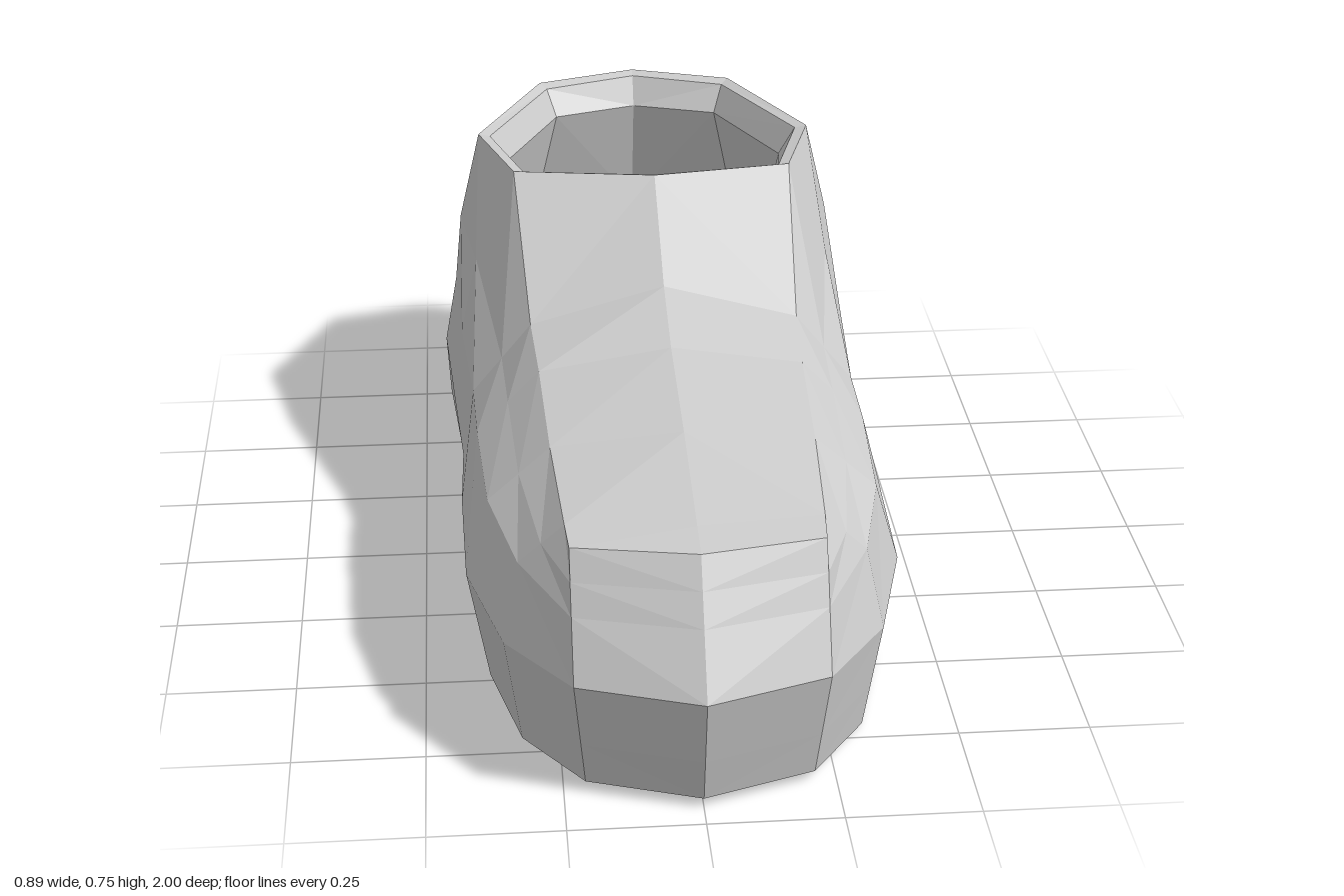
import * as THREE from 'three';

const mix = (a, b, t) => a.map((v, i) => v + (b[i] - v) * t);

// Full six-row column (sole, low, mid, upper, high, edge) from a few key points
function column(...p) {
  if (p.length === 6) return p;
  if (p.length === 3) p.splice(2, 0, mix(p[1], p[2], 0.5));
  const [sole, mid, upper, edge] = p;
  return [sole, mix(sole, mid, 0.4), mid, upper, mix(upper, edge, 0.5), edge];
}

// Skin a grid of columns on the left half and mirror it to the right
function mirroredSkin(name, cols, material) {
  const pos = [];
  const tri = (a, b, c) => {
    pos.push(...a, ...b, ...c);
    for (const p of [a, c, b]) pos.push(-p[0], p[1], p[2]);
  };
  for (let i = 0; i < cols.length - 1; i++) {
    for (let j = 0; j < cols[i].length - 1; j++) {
      const a = cols[i][j], b = cols[i + 1][j], c = cols[i + 1][j + 1], d = cols[i][j + 1];
      const same = (p, q) => p.every((v, k) => v === q[k]);
      if (!same(a, b) && !same(b, c)) tri(a, b, c);
      if (!same(c, d) && !same(a, d)) tri(a, c, d);
    }
  }
  const geo = new THREE.BufferGeometry();
  geo.setAttribute('position', new THREE.Float32BufferAttribute(pos, 3));
  geo.computeVertexNormals();
  const mesh = new THREE.Mesh(geo, material);
  mesh.name = name;
  return mesh;
}

export function createModel() {
  const group = new THREE.Group();
  group.name = 'shoe';
  const mat = new THREE.MeshStandardMaterial({ color: 0xcccccc, flatShading: true });

  // Side wall columns from toe centre round to heel centre
  const arch = column([0.38, 0.085, -0.2], [0.415, 0.12, -0.21], [0.43, 0.235, -0.25],
    [0.41, 0.38, -0.29], [0.375, 0.53, -0.33], [0.29, 0.735, -0.31]);
  const heelFront = [[0.385, 0.015, -0.21], ...arch.slice(1)];
  const walls = [
    column([0, 0.02, 0.95], [0, 0.25, 1], [0, 0.475, 0.86]),
    column([0.21, 0.02, 0.88], [0.23, 0.248, 0.92], [0.23, 0.47, 0.81]),
    column([0.32, 0.012, 0.72], [0.35, 0.235, 0.74], [0.32, 0.38, 0.7], [0.235, 0.477, 0.74]),
    column([0.375, 0, 0.48], [0.415, 0.235, 0.49], [0.37, 0.39, 0.48], [0.25, 0.497, 0.48]),
    column([0.375, 0.015, 0.2], [0.42, 0.235, 0.2], [0.385, 0.39, 0.2], [0.26, 0.518, 0.2]),
    column([0.375, 0.04, 0], [0.415, 0.235, 0], [0.39, 0.38, 0], [0.27, 0.535, 0.02]),
    arch,
    heelFront,
    column([0.39, 0.008, -0.53], [0.44, 0.11, -0.55], [0.447, 0.235, -0.56],
      [0.42, 0.38, -0.57], [0.405, 0.53, -0.57], [0.36, 0.72, -0.57]),
    column([0.22, 0.012, -0.83], [0.25, 0.1, -0.88], [0.26, 0.235, -0.91],
      [0.265, 0.38, -0.93], [0.255, 0.53, -0.915], [0.215, 0.725, -0.87]),
    column([0, 0.015, -0.9], [0, 0.1, -0.95], [0, 0.235, -0.98],
      [0, 0.37, -1], [0, 0.53, -0.98], [0, 0.73, -0.93]),
  ];
  group.add(mirroredSkin('sideWalls', walls, mat));

  // Sole, with the step in front of the heel
  group.add(mirroredSkin('sole', walls.map(([s]) => [[0, s[1], s[2]], s]), mat));

  // Top of the foot, from toe cap to collar
  const ridge = [[0, 0.475, 0.86], [0, 0.487, 0.78], [0, 0.53, 0.5], [0, 0.56, 0.2],
    [0, 0.61, 0.02], [0, 0.75, -0.23]];
  group.add(mirroredSkin('vamp', ridge.map((p, i) => [walls[i + 1][5], p]), mat));

  // Collar rim and hollow lining: rings from the outer rim down to the insole
  const rings = [
    [ridge[5], ...[7, 8, 9, 10].map((i) => walls[i][5])],
    [[0, 0.745, -0.245], [0.27, 0.73, -0.32], [0.335, 0.715, -0.57], [0.2, 0.717, -0.85], [0, 0.722, -0.91]],
    [[0, 0.66, -0.265], [0.25, 0.65, -0.34], [0.3, 0.655, -0.57], [0.18, 0.66, -0.82], [0, 0.66, -0.88]],
    [[0, 0.45, -0.05], [0.3, 0.43, -0.2], [0.385, 0.4, -0.57], [0.235, 0.4, -0.88], [0, 0.4, -0.95]],
    [[0, 0.13, 0.05], [0.33, 0.13, -0.15], [0.39, 0.13, -0.55], [0.22, 0.13, -0.85], [0, 0.13, -0.91]],
  ];
  const columnsOf = (list) => list[0].map((_, i) => list.map((ring) => ring[i]));
  group.add(mirroredSkin('collarRim', columnsOf(rings.slice(0, 3)), mat));
  group.add(mirroredSkin('lining', columnsOf(rings.slice(2)), mat));
  group.add(mirroredSkin('insole', rings[4].map((p) => [p, [0, p[1], p[2]]]), mat));

  return group;
}
